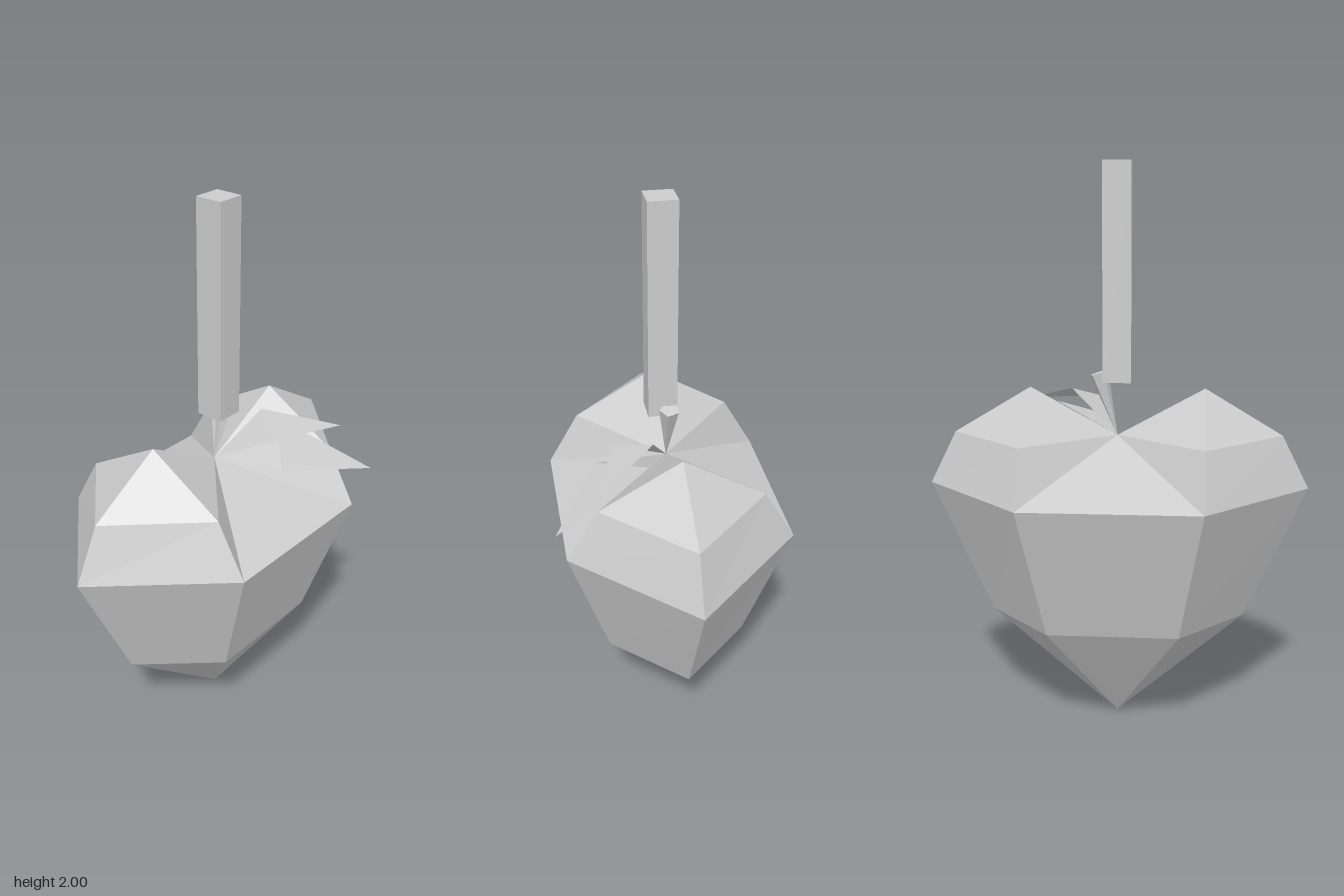
import * as THREE from 'three';

const grey = new THREE.MeshStandardMaterial({ color: 0xcccccc, flatShading: true });
grey.name = 'plain grey';
const leafGrey = new THREE.MeshStandardMaterial({ color: 0xcccccc, flatShading: true, side: THREE.DoubleSide });
leafGrey.name = 'leaf grey';

// Fan-triangulate polygons given as lists of points
function polygons(faces) {
  const pos = [];
  for (const f of faces)
    for (let i = 1; i < f.length - 1; i++) pos.push(...f[0], ...f[i], ...f[i + 1]);
  const g = new THREE.BufferGeometry();
  g.setAttribute('position', new THREE.Float32BufferAttribute(pos, 3));
  g.computeVertexNormals();
  return g;
}

function add(parent, name, geometry, material = grey) {
  const m = new THREE.Mesh(geometry, material);
  m.name = name;
  parent.add(m);
  return m;
}

// One quarter of the two-lobed faceted fruit, mirrored in x and z
function bodyGeometry() {
  const tip = [0, 0, 0], dip = [0, 1.055, 0], peak = [0.31, 1.225, 0];
  const lowSide = [0.46, 0.39, 0], lowFront = [0.23, 0.39, 0.25], lowMid = [0, 0.39, 0.25];
  const midSide = [0.68, 0.87, 0], midFront = [0.31, 0.87, 0.395], midMid = [0, 0.87, 0.395];
  const topSide = [0.585, 1.06, 0], topFront = [0.31, 1.06, 0.285];
  const quarter = [
    [tip, lowSide, lowFront], [lowFront, lowSide, midSide, midFront],
    [midFront, midSide, topSide, topFront], [topFront, topSide, peak],
    [tip, lowFront, lowMid], [lowMid, lowFront, midFront, midMid],
    [midMid, midFront, dip], [midFront, topFront, dip], [topFront, peak, dip],
  ];
  const faces = [];
  for (const sx of [1, -1])
    for (const sz of [1, -1])
      for (const f of quarter) {
        const m = f.map(([x, y, z]) => [x * sx, y, z * sz]);
        faces.push(sx * sz < 0 ? m.reverse() : m);
      }
  return polygons(faces);
}

export function createModel() {
  const group = new THREE.Group();
  group.name = 'hangingFruit';

  add(group, 'fruitBody', bodyGeometry()).position.z = -0.02;

  // Square hanging post
  add(group, 'post', new THREE.BoxGeometry(0.1, 0.755, 0.1)).position.y = 1.6225;

  // Small stalk widening upward from the dip
  const root = new THREE.Vector3(0, 1.055, -0.02);
  const axis = new THREE.Vector3(0.066, 0.222, 0);
  const stalk = add(group, 'stalk', new THREE.CylinderGeometry(0.035, 0.001, axis.length(), 5));
  stalk.position.copy(root).addScaledVector(axis, 0.5);
  stalk.quaternion.setFromUnitVectors(new THREE.Vector3(0, 1, 0), axis.clone().normalize());

  // Two bent leaves: root, left corner, tip, right corner
  const leaf = (name, left, tip, right) =>
    add(group, name, polygons([[root.toArray(), left, right], [right, left, tip]]), leafGrey);
  leaf('upperLeaf', [0.08, 1.165, 0.185], [0.36, 1.14, 0.27], [0.17, 1.21, 0.055]);
  leaf('lowerLeaf', [0.05, 1.08, 0.245], [0.36, 1.015, 0.41], [0.23, 1.16, 0.08]);

  return group;
}
